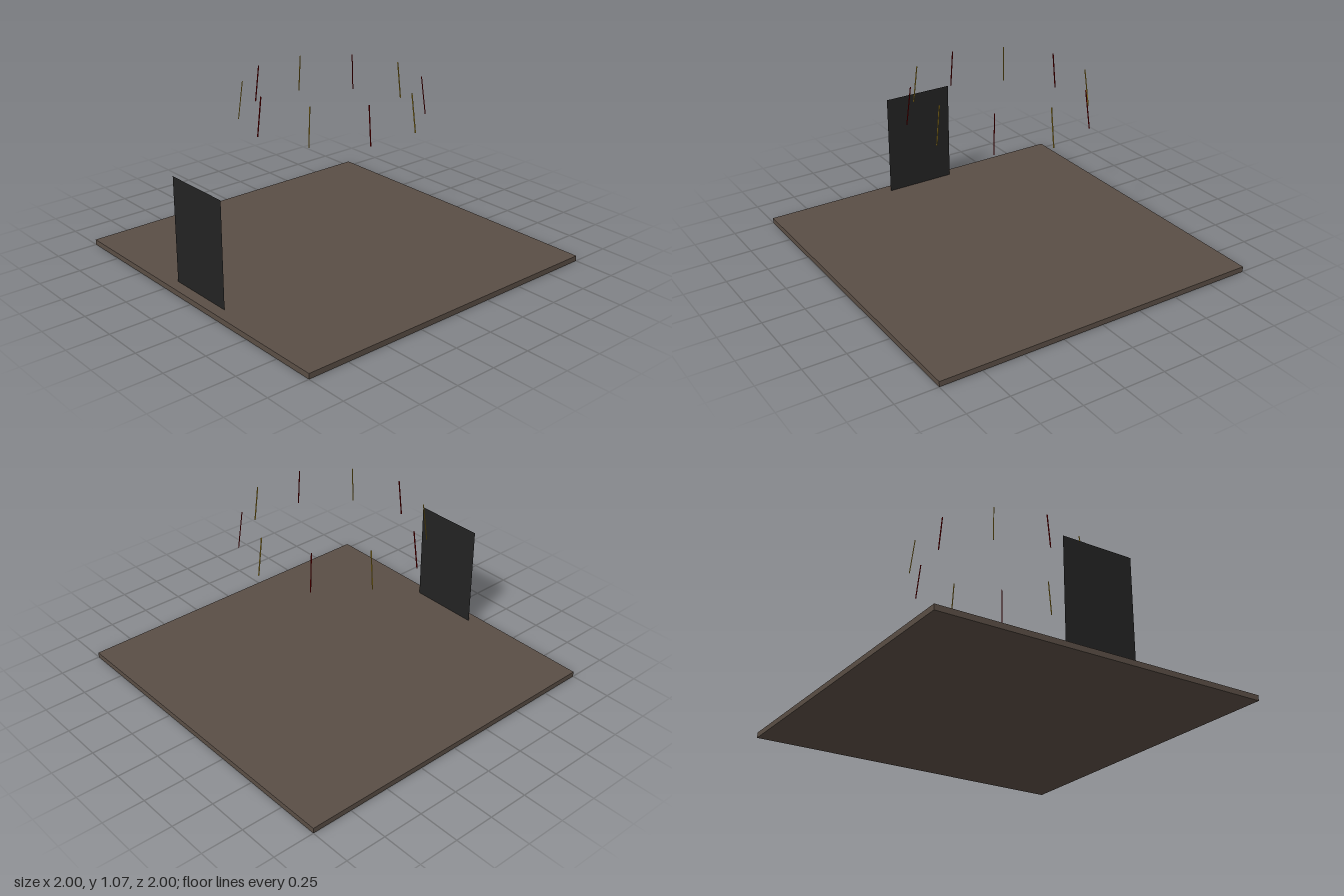
import * as THREE from 'three';

const material = (name, color, side = THREE.FrontSide) => {
  const m = new THREE.MeshStandardMaterial({ color, side });
  m.name = name;
  return m;
};

export function createModel() {
  const model = new THREE.Group();
  model.name = 'ringOfRodsOnPlatform';

  const brown = material('brown', 0x5a4e45);
  const black = material('black', 0x222222, THREE.DoubleSide);
  const red = material('darkRed', 0x8b0000);
  const gold = material('gold', 0xd4af37);

  const add = (name, geometry, mat) => {
    const mesh = new THREE.Mesh(geometry, mat);
    mesh.name = name;
    model.add(mesh);
    return mesh;
  };

  // Square floor slab
  const slab = 0.032;
  add('platform', new THREE.BoxGeometry(2, slab, 2), brown).position.y = slab / 2;

  // Flat door sheet standing just inside the front edge
  const doorHeight = 0.626;
  add('door', new THREE.PlaneGeometry(0.438, doorHeight), black)
    .position.set(0, slab + doorHeight / 2, 0.933);

  // Ring of ten slim rods leaning inward, alternating in colour
  const count = 10, bottomRadius = 0.526, topRadius = 0.499, bottomY = 0.845, topY = 1.065;
  const up = new THREE.Vector3(0, 1, 0);
  const rodGeometry = new THREE.BoxGeometry(0.005, Math.hypot(topY - bottomY, bottomRadius - topRadius), 0.005);
  const lean = Math.atan2(bottomRadius - topRadius, topY - bottomY);
  for (let i = 0; i < count; i++) {
    const angle = (i / count) * Math.PI * 2;
    const rod = add('rod', rodGeometry, i % 2 ? gold : red);
    rod.position.set(0, (bottomY + topY) / 2, (bottomRadius + topRadius) / 2).applyAxisAngle(up, angle);
    rod.rotation.set(-lean, angle, 0, 'YXZ');
  }

  return model;
}
